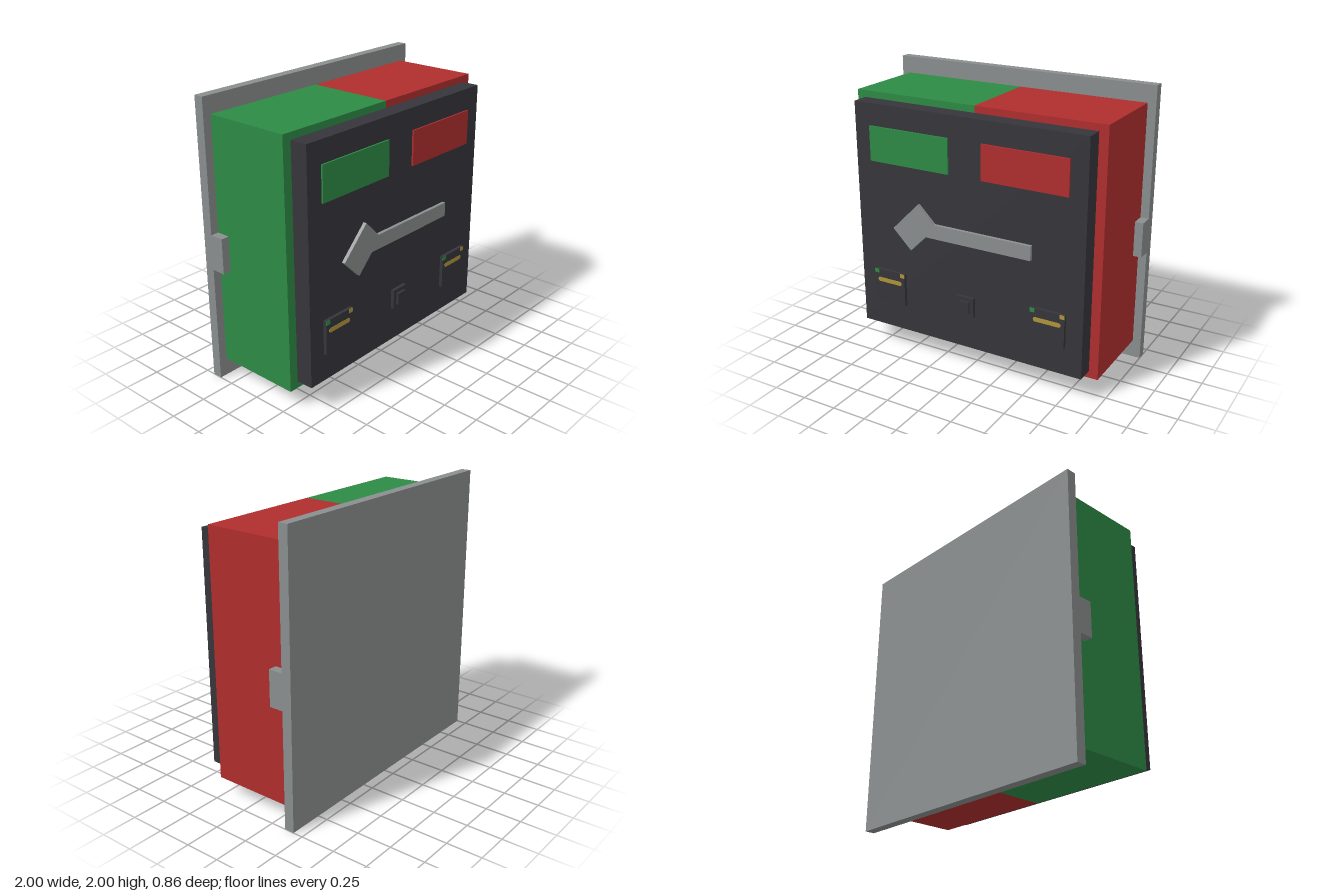
import * as THREE from 'three';

const mat = (name, color) => {
  const m = new THREE.MeshStandardMaterial({ color });
  m.name = name;
  return m;
};

export function createModel() {
  const grey = mat('grey', 0x8a8e8e);
  const dark = mat('charcoal', 0x36353b);
  const green = mat('green', 0x2d8b45);
  const red = mat('red', 0xb02d2d);
  const yellow = mat('yellow', 0xb0953a);
  const model = new THREE.Group();
  model.name = 'controlBox';

  // Box given by its extents on each axis
  const box = (name, material, [x0, x1], [y0, y1], [z0, z1], parent = model) => {
    const mesh = new THREE.Mesh(new THREE.BoxGeometry(x1 - x0, y1 - y0, z1 - z0), material);
    mesh.position.set((x0 + x1) / 2, (y0 + y1) / 2, (z0 + z1) / 2);
    mesh.name = name;
    parent.add(mesh);
    return mesh;
  };
  // Flat outline extruded forward from z
  const extrude = (name, material, shape, z, depth, parent = model) => {
    const geo = new THREE.ExtrudeGeometry(shape, { depth, bevelEnabled: false, curveSegments: 8 });
    const mesh = new THREE.Mesh(geo, material);
    mesh.position.z = z;
    mesh.name = name;
    parent.add(mesh);
    return mesh;
  };

  // Wall plate with a small tab on each side
  box('backPlate', grey, [-1, 1], [0, 2], [-0.43, -0.36]);
  box('rightTab', grey, [-1, -0.94], [0.83, 1.08], [-0.36, -0.26]);
  box('leftTab', grey, [0.94, 1], [0.83, 1.08], [-0.36, -0.26]);

  // Two-tone housing and dark front panel
  box('rightHousing', green, [-0.94, 0], [0.128, 1.878], [-0.36, 0.265]);
  box('leftHousing', red, [0, 0.94], [0.128, 1.878], [-0.36, 0.265]);
  box('frontPanel', dark, [-0.875, 0.875], [0.178, 1.83], [0.265, 0.39]);

  // Display windows
  box('greenDisplay', green, [-0.753, -0.126], [1.427, 1.675], [0.39, 0.402]);
  box('redDisplay', red, [0.126, 0.753], [1.427, 1.675], [0.39, 0.402]);

  // Lever with a tilted square head
  const lever = new THREE.Shape([
    [-0.365, 1.178], [-0.575, 0.968], [-0.433, 0.828], [-0.308, 0.952],
    [0.5, 0.952], [0.5, 1.054], [-0.24, 1.054],
  ].map(([x, y]) => new THREE.Vector2(x, y)));
  extrude('lever', grey, lever, 0.39, 0.025);

  // Rounded card slot outline
  const slot = new THREE.Shape();
  slot.absarc(0.085, 0.546, 0.016, -Math.PI / 2, Math.PI / 2);
  slot.absarc(-0.085, 0.546, 0.016, Math.PI / 2, Math.PI * 1.5);
  slot.closePath();

  // Card readers with slot and indicator lights
  for (const [name, x] of [['rightReader', -0.627], ['leftReader', 0.627]]) {
    const reader = new THREE.Group();
    reader.name = name;
    reader.position.x = x;
    model.add(reader);
    box('readerBody', dark, [-0.127, 0.127], [0.377, 0.624], [0.39, 0.414], reader);
    extrude('cardSlot', yellow, slot, 0.414, 0.002, reader);
    box('greenLight', green, [-0.127, -0.091], [0.594, 0.624], [0.414, 0.416], reader);
    box('yellowLight', yellow, [0.091, 0.127], [0.594, 0.624], [0.414, 0.416], reader);
  }

  // Push button on its base
  box('buttonBase', dark, [-0.068, 0.068], [0.43, 0.572], [0.39, 0.414]);
  box('button', dark, [-0.04, 0.04], [0.458, 0.544], [0.414, 0.432]);

  return model;
}
